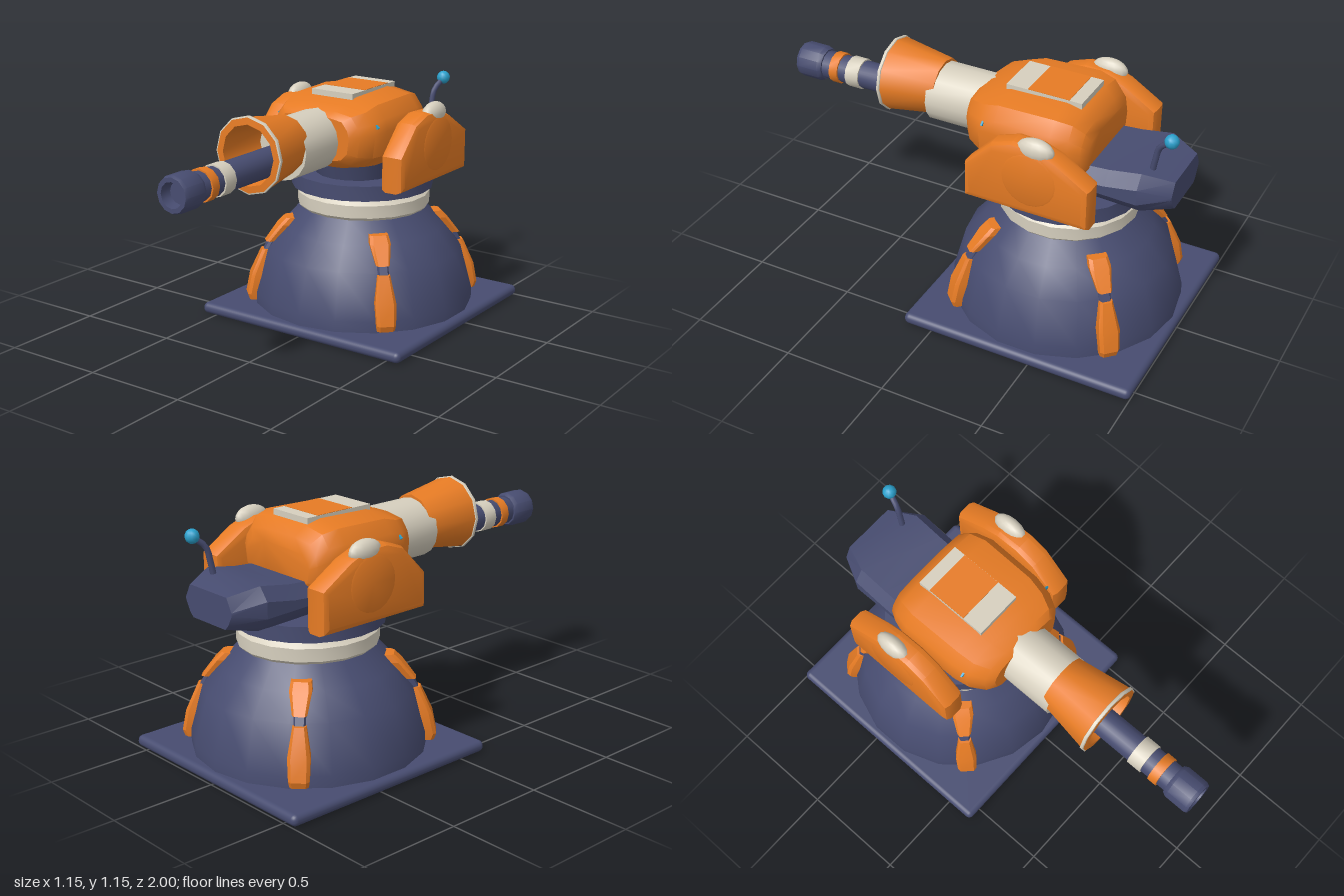
import * as THREE from 'three';
import { toCreasedNormals } from 'three/addons/utils/BufferGeometryUtils.js';
import { RoundedBoxGeometry } from 'three/addons/geometries/RoundedBoxGeometry.js';

const CZ = -0.43; // turret axis

const material = (name, color) => {
  const m = new THREE.MeshStandardMaterial({ color });
  m.name = name;
  return m;
};

// Solid of revolution from [radius, height] pairs
const lathe = (profile, sides) =>
  toCreasedNormals(new THREE.LatheGeometry(profile.map(([r, y]) => new THREE.Vector2(r, y)), sides), 0.62);

// Capped skin over a series of equal-length rings of [x, y, z]
function loft(rings, crease) {
  const n = rings[0].length;
  const v = (i, j) => new THREE.Vector3(...rings[i][j % n]);
  const tris = [];
  for (let i = 0; i < rings.length - 1; i++) {
    for (let j = 0; j < n; j++) {
      tris.push([v(i, j), v(i, j + 1), v(i + 1, j)], [v(i, j + 1), v(i + 1, j + 1), v(i + 1, j)]);
    }
  }
  const last = rings.length - 1;
  for (let j = 1; j < n - 1; j++) {
    tris.push([v(0, 0), v(0, j + 1), v(0, j)], [v(last, 0), v(last, j), v(last, j + 1)]);
  }
  // Make the faces point outward
  const c = rings.flat().reduce((s, p) => s.add(new THREE.Vector3(...p)), new THREE.Vector3());
  c.divideScalar(n * rings.length);
  let volume = 0;
  for (const [a, b, d] of tris) {
    volume += a.clone().sub(c).dot(b.clone().sub(c).cross(d.clone().sub(c)));
  }
  if (volume < 0) tris.forEach((t) => t.reverse());
  const geo = new THREE.BufferGeometry().setFromPoints(tris.flat());
  return toCreasedNormals(geo, crease);
}

// Rib section standing on the dome: rows of [y, inner radius, outer radius, half width]
const rib = (rows) =>
  loft(rows.map(([y, r0, r1, w]) => [
    [-w, y, r0], [w, y, r0], [w, y, r1 - 0.015], [w * 0.7, y, r1], [-w * 0.7, y, r1], [-w, y, r1 - 0.015],
  ]), 0.3);

export function createModel() {
  const orange = material('orange', 0xe67b24);
  const navy = material('navy', 0x474c70);
  const beige = material('beige', 0xd6cfbe);
  const cyan = material('cyan', 0x2aa0cc);

  const model = new THREE.Group();
  model.name = 'turret';
  const add = (name, geo, mat, x = 0, y = 0, z = 0, parent = model) => {
    const mesh = new THREE.Mesh(geo, mat);
    mesh.name = name;
    mesh.position.set(x, y, z);
    parent.add(mesh);
    return mesh;
  };

  // Base and dome
  add('basePlate', new RoundedBoxGeometry(1.15, 0.055, 1.145, 3, 0.026), navy, 0, 0.0275, CZ);
  add('dome', lathe([[0, 0.04], [0.545, 0.04], [0.545, 0.11], [0.485, 0.33], [0.395, 0.44], [0.305, 0.54], [0, 0.545]], 18), navy, 0, 0, CZ);
  add('lightRing', lathe([[0, 0.535], [0.31, 0.535], [0.325, 0.55], [0.325, 0.61], [0.3, 0.633], [0, 0.633]], 18), beige, 0, 0, CZ);
  add('collar', lathe([[0, 0.643], [0.347, 0.643], [0.347, 0.716], [0, 0.716]], 20), navy, 0, 0, CZ + 0.01);
  add('neck', lathe([[0, 0.7], [0.19, 0.7], [0.23, 0.83], [0, 0.86]], 16), navy, 0, 0, -0.36);

  // Four ribs on the diagonals
  const lowerRib = rib([[0.07, 0.46, 0.575, 0.042], [0.1, 0.46, 0.585, 0.046], [0.2, 0.44, 0.565, 0.05], [0.325, 0.4, 0.51, 0.03]]);
  const ribJoint = rib([[0.3, 0.4, 0.512, 0.027], [0.39, 0.37, 0.462, 0.027]]);
  const upperRib = rib([[0.365, 0.38, 0.49, 0.033], [0.45, 0.3, 0.425, 0.05], [0.485, 0.28, 0.39, 0.045]]);
  for (let i = 0; i < 4; i++) {
    const g = new THREE.Group();
    g.name = 'rib';
    g.position.z = CZ;
    g.rotation.y = Math.PI / 4 + (i * Math.PI) / 2;
    add('ribFoot', lowerRib, orange, 0, 0, 0, g);
    add('ribJoint', ribJoint, navy, 0, 0, 0, g);
    add('ribTop', upperRib, orange, 0, 0, 0, g);
    model.add(g);
  }

  // Head: rounded section lofted along z
  const half = [[0.4, 1], [0.8, 0.94], [0.95, 0.76], [1, 0.6], [0.95, 0.24], [0.78, 0.08], [0.35, 0]];
  const outline = half.concat(half.map(([x, y]) => [-x, y]).reverse());
  const headRows = [
    [0, 0.2, 0.85, 1.06], [-0.03, 0.24, 0.82, 1.085], [-0.1, 0.28, 0.8, 1.1], [-0.18, 0.295, 0.79, 1.125],
    [-0.45, 0.3, 0.79, 1.132], [-0.53, 0.28, 0.8, 1.115], [-0.58, 0.25, 0.82, 1.07], [-0.6, 0.215, 0.85, 1.02],
  ];
  add('head', loft(headRows.map(([z, w, y0, y1]) => outline.map(([x, y]) => [x * w, y0 + y * (y1 - y0), z])), 0.6), orange);

  // Roof plate with an orange strip across it
  add('roofPlate', new THREE.BoxGeometry(0.23, 0.03, 0.365), beige, 0, 1.13, -0.3375);
  add('roofStrip', new THREE.BoxGeometry(0.228, 0.006, 0.2), orange, 0, 1.144, -0.36);

  // Rear box
  const boxRows = [[-0.56, 0.23, 0.73, 0.89], [-0.69, 0.23, 0.725, 0.9], [-0.84, 0.23, 0.72, 0.925], [-0.975, 0.16, 0.745, 0.89]];
  add('rearBox', loft(boxRows.map(([z, w, a, b]) => [
    [-w * 0.8, b, z], [w * 0.8, b, z], [w, b - 0.06, z], [w, a + 0.07, z],
    [w * 0.83, a + 0.02, z], [w * 0.7, a, z], [-w * 0.7, a, z], [-w * 0.83, a + 0.02, z], [-w, a + 0.07, z], [-w, b - 0.06, z],
  ]), 0.45), navy);

  // Antenna
  const stalk = new THREE.CatmullRomCurve3([[0.11, 0.9, -0.86], [0.115, 0.97, -0.872], [0.12, 1.04, -0.89], [0.137, 1.09, -0.945]]
    .map((p) => new THREE.Vector3(...p)));
  add('antennaStalk', new THREE.TubeGeometry(stalk, 8, 0.014, 8), navy);
  add('antennaBall', new THREE.SphereGeometry(0.033, 10, 7), cyan, 0.137, 1.095, -0.947);

  // Side pods, caps and small lights
  const podShape = new THREE.Shape([[-0.1, 0.72], [-0.1, 0.89], [-0.23, 1.025], [-0.33, 1.06], [-0.45, 1.055], [-0.54, 1.02], [-0.7, 0.92], [-0.7, 0.72]]
    .map((p) => new THREE.Vector2(...p)));
  const pod = new THREE.ExtrudeGeometry(podShape, {
    depth: 0.06, bevelEnabled: true, bevelThickness: 0.03, bevelSize: 0.03, bevelOffset: -0.03, bevelSegments: 2,
  });
  pod.translate(0, 0, -0.03).rotateY(-Math.PI / 2);
  const lightShape = new THREE.Shape([[0, -0.02], [0.03, 0], [0, 0.02]].map((p) => new THREE.Vector2(...p)));
  const lightGeo = new THREE.ExtrudeGeometry(lightShape, { depth: 0.009, bevelEnabled: false });
  const disc = lathe([[0.13, 0], [0.12, 0.004], [0, 0.006]], 20).rotateZ(-Math.PI / 2);
  for (const s of [1, -1]) {
    const side = s > 0 ? 'left' : 'right';
    add(side + 'Pod', toCreasedNormals(pod, 0.5), orange, s * 0.365, 0, 0);
    const d = add(side + 'PodDisc', disc, orange, s * 0.424, 0.9, -0.42);
    if (s < 0) d.rotation.y = Math.PI;
    add(side + 'PodCap', new THREE.SphereGeometry(1, 14, 10), beige, s * 0.388, 1.04, -0.435).scale.set(0.042, 0.055, 0.088);
    const light = add(side + 'Light', lightGeo, cyan, s * 0.26, 1.015, -0.125);
    if (s < 0) light.rotation.z = Math.PI;
  }

  // Barrel assembly, all turned about z
  const turned = (name, profile, mat, y, sides = 12) => {
    const mesh = add(name, lathe(profile, sides), mat, 0, y, 0);
    mesh.rotation.x = Math.PI / 2;
    return mesh;
  };
  const GUN = 0.912;
  turned('barrelSleeve', [[0, -0.1], [0.142, -0.1], [0.142, 0.25], [0, 0.25]], beige, 0.946, 16);
  turned('shroud', [[0.11, 0.215], [0.132, 0.215], [0.175, 0.487], [0.14, 0.49], [0.117, 0.255], [0.11, 0.215]], orange, 0.971);
  turned('shroudLip', [[0.174, 0.472], [0.1785, 0.474], [0.1785, 0.487], [0.172, 0.489]], beige, 0.971);
  turned('gunTube', [[0, 0.2], [0.067, 0.2], [0.067, 0.88], [0, 0.88]], navy, GUN);
  turned('lightBand', [[0.06, 0.66], [0.074, 0.66], [0.074, 0.73], [0.06, 0.73]], beige, GUN);
  turned('orangeBand', [[0.06, 0.775], [0.075, 0.775], [0.075, 0.82], [0.06, 0.82]], orange, GUN);
  turned('muzzle', [[0.06, 0.865], [0.075, 0.865], [0.085, 0.885], [0.085, 0.985], [0.078, 1], [0.058, 1], [0.05, 0.95], [0, 0.95]], navy, GUN);

  return model;
}
